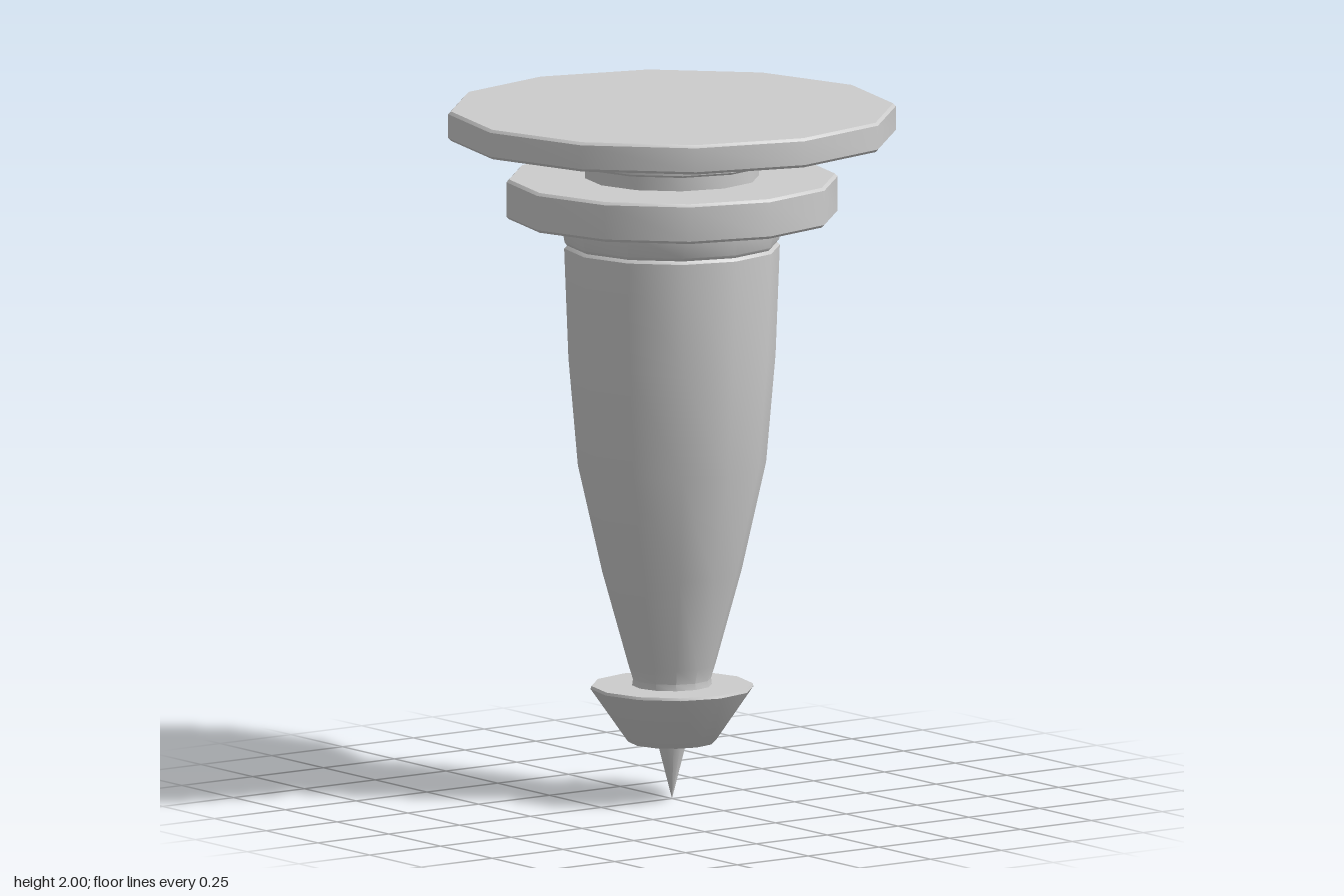
import * as THREE from 'three';
import { toCreasedNormals } from 'three/addons/utils/BufferGeometryUtils.js';

const SIDES = 12;
const CREASE = 0.6; // just above the 30 degree step between sides

export function createModel() {
  const group = new THREE.Group();
  const material = new THREE.MeshStandardMaterial({ color: 0xcccccc });

  // Turned part from [radius, y] points listed bottom to top
  function turned(name, profile) {
    const points = profile.map(([r, y]) => new THREE.Vector2(r, y));
    const geometry = toCreasedNormals(new THREE.LatheGeometry(points, SIDES), CREASE);
    const mesh = new THREE.Mesh(geometry, material);
    mesh.name = name;
    group.add(mesh);
  }

  // Flat disc with slightly bevelled rims
  function disc(name, radius, bottom, top, bevel) {
    turned(name, [
      [0, bottom], [radius - bevel, bottom], [radius, bottom + bevel],
      [radius, top - bevel], [radius - bevel, top], [0, top],
    ]);
  }

  // Pointed tip and flared foot
  turned('tip', [[0, 0], [0.042, 0.165], [0, 0.165]]);
  turned('foot', [[0, 0.165], [0.122, 0.165], [0.128, 0.17], [0.234, 0.322], [0.231, 0.33], [0, 0.33]]);

  // Tapered shaft
  turned('shaft', [
    [0.115, 0.325], [0.112, 0.348], [0.125, 0.39], [0.2, 0.66], [0.27, 0.97],
    [0.297, 1.28], [0.309, 1.59], [0.309, 1.597], [0.301, 1.606], [0, 1.606],
  ]);

  // Flaring band under the collar
  turned('shaftBand', [[0, 1.6], [0.301, 1.606], [0.308, 1.615], [0.319, 1.68], [0.319, 1.69]]);

  // Collar, neck, ring and top plate
  disc('collar', 0.475, 1.685, 1.8, 0.008);
  turned('neck', [[0.25, 1.79], [0.25, 1.92]]);
  disc('neckRing', 0.292, 1.845, 1.911, 0.006);
  disc('topPlate', 0.642, 1.915, 2, 0.008);

  return group;
}
